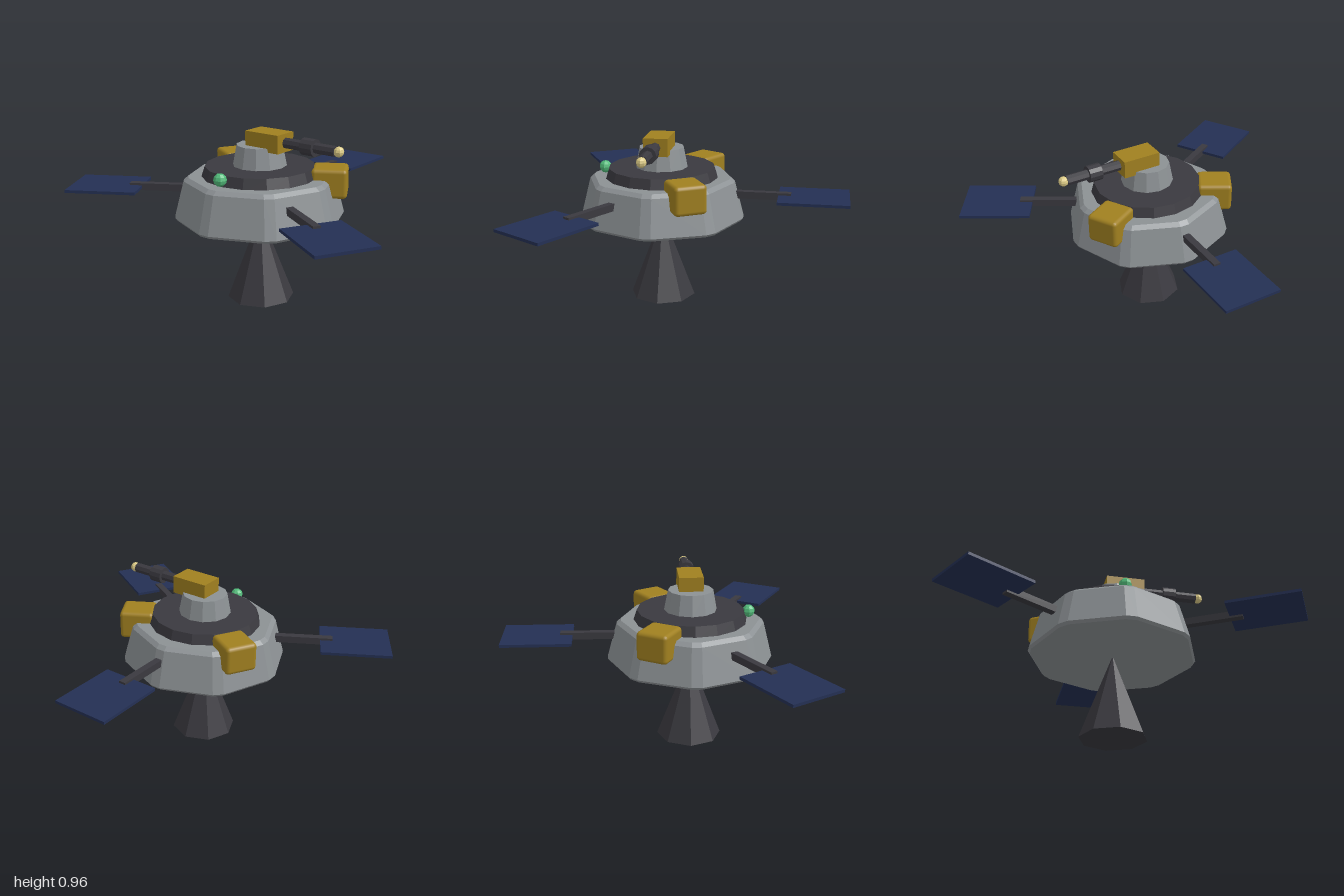
import * as THREE from 'three';
import { RoundedBoxGeometry } from 'three/addons/geometries/RoundedBoxGeometry.js';

const mat = (name, color) => {
  const m = new THREE.MeshStandardMaterial({ color });
  m.name = name;
  return m;
};

// faceted copy of a geometry
function flat(geo) {
  const g = geo.index ? geo.toNonIndexed() : geo;
  g.computeVertexNormals();
  return g;
}

// eight-sided hull with chamfered corners, made by pairing up the points of a 16-sided lathe
function hullGeometry() {
  const profile = [[0, 0.475], [0.458, 0.475], [0.47, 0.49], [0.416, 0.695], [0.392, 0.715], [0, 0.715]]
    .map(([r, y]) => new THREE.Vector2(r, y));
  const geo = new THREE.LatheGeometry(profile, 16);
  const p = geo.attributes.position;
  const chamfer = 0.065;
  for (let i = 0; i < p.count; i++) {
    const x = p.getX(i), z = p.getZ(i), r = Math.hypot(x, z);
    const j = Math.round(Math.atan2(x, z) / (Math.PI / 8));
    const a = Math.floor((j + 1) / 2) * Math.PI / 4 + (j & 1 ? -chamfer : chamfer);
    p.setXYZ(i, r * Math.sin(a), p.getY(i), r * Math.cos(a));
  }
  return flat(geo);
}

export function createModel() {
  const grey = mat('hull grey', 0x8c9194);
  const dark = mat('dark metal', 0x3a393f);
  const gold = mat('gold', 0xa08020);
  const navy = mat('panel navy', 0x243054);
  const green = mat('beacon green', 0x52bb7a);
  const cream = mat('muzzle cream', 0xdccb86);

  const model = new THREE.Group();
  model.name = 'turretPlatform';
  const body = new THREE.Group();
  body.name = 'platform';
  body.position.z = 0.195;
  model.add(body);

  const add = (parent, name, geo, material, x = 0, y = 0, z = 0) => {
    const mesh = new THREE.Mesh(geo, material);
    mesh.name = name;
    mesh.position.set(x, y, z);
    parent.add(mesh);
    return mesh;
  };
  const cyl = (top, bottom, h, sides) => flat(new THREE.CylinderGeometry(top, bottom, h, sides));
  const box = (w, h, d) => new THREE.BoxGeometry(w, h, d);

  // central stack
  add(body, 'hull', hullGeometry(), grey);
  add(body, 'lowerCone', flat(new THREE.ConeGeometry(0.187, 0.49, 8)), dark, 0, 0.245);
  add(body, 'deckRing', cyl(0.302, 0.325, 0.07, 16), dark, 0, 0.736);
  add(body, 'turretBase', cyl(0.127, 0.149, 0.115, 12), grey, 0, 0.8275);
  add(body, 'beacon', flat(new THREE.SphereGeometry(0.036, 8, 6)), green, 0, 0.755, 0.33);

  // gun pointing to +x
  const gun = new THREE.Group();
  gun.name = 'gun';
  gun.position.y = 0.915;
  body.add(gun);
  add(gun, 'gunHousing', box(0.22, 0.1, 0.137), gold, 0.065);
  add(gun, 'barrel', cyl(0.029, 0.029, 0.33, 8), dark, 0.33).rotation.z = -Math.PI / 2;
  add(gun, 'barrelCollar', cyl(0.047, 0.047, 0.075, 12), dark, 0.332).rotation.z = -Math.PI / 2;
  add(gun, 'muzzleTip', flat(new THREE.SphereGeometry(0.028, 8, 6)), cream, 0.512);

  // parts arranged around the hull, each built pointing along +z
  const spoke = (name, degrees) => {
    const g = new THREE.Group();
    g.name = name;
    g.rotation.y = THREE.MathUtils.degToRad(degrees);
    body.add(g);
    return g;
  };
  for (const [name, angle] of [['left', 60], ['right', -60], ['back', 180]]) {
    const wing = spoke(name + 'SolarWing', angle);
    add(wing, 'panelArm', box(0.04, 0.04, 0.335), dark, 0, 0.625, 0.568);
    add(wing, 'solarPanel', box(0.328, 0.016, 0.395), navy, 0, 0.625, 0.863);
  }
  for (const [name, angle] of [['left', 120], ['right', -120]]) {
    const pod = spoke(name + 'Pod', angle);
    add(pod, 'podBox', new RoundedBoxGeometry(0.182, 0.162, 0.195, 2, 0.022), gold, 0, 0.693, 0.385);
  }
  return model;
}
